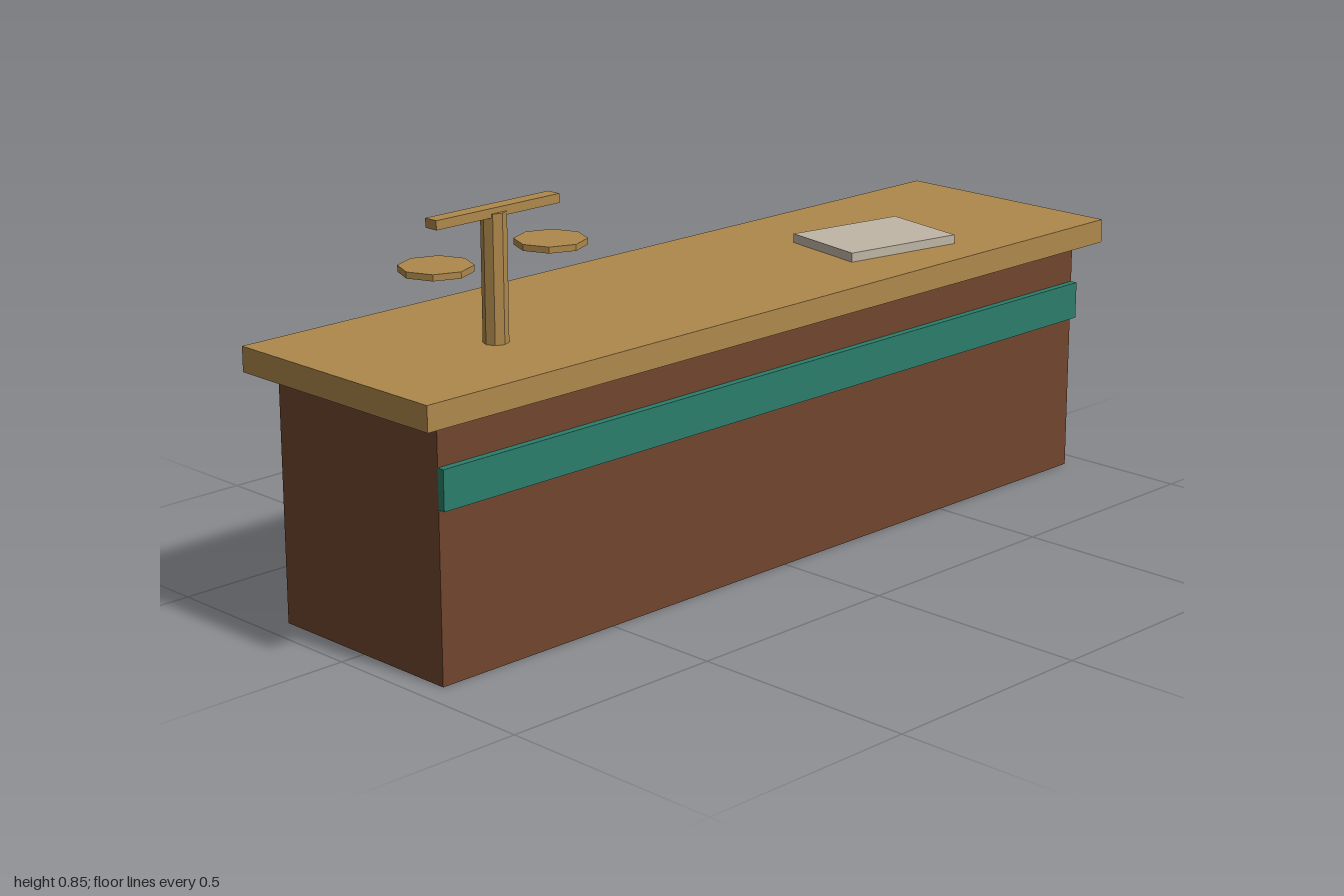
import * as THREE from 'three';

export function createModel() {
  const group = new THREE.Group();
  const material = (name, color) => {
    const m = new THREE.MeshStandardMaterial({ color, flatShading: true });
    m.name = name;
    return m;
  };
  const darkWood = material('dark wood', 0x6f452e);
  const brass = material('golden wood', 0xae884b);
  const teal = material('teal', 0x2b7d6b);
  const paper = material('paper', 0xc0b6a6);

  const add = (name, geometry, mat, x, y, z, parent = group) => {
    const mesh = new THREE.Mesh(geometry, mat);
    mesh.name = name;
    mesh.position.set(x, y, z);
    parent.add(mesh);
    return mesh;
  };
  const box = (w, h, d) => new THREE.BoxGeometry(w, h, d);

  // Counter
  add('counterBody', box(1.89, 0.528, 0.474), darkWood, 0, 0.264, 0);
  add('counterTop', box(2, 0.053, 0.554), brass, 0, 0.5535, 0);
  add('frontStripe', box(1.89, 0.083, 0.016), teal, 0, 0.3965, 0.245);

  // Ledger lying askew on the counter
  const ledger = add('ledger', box(0.284, 0.02, 0.21), paper, 0.473, 0.59, 0.054);
  ledger.rotation.y = -0.18;

  // Balance scale: eight-sided post, beam and two floating pans
  const scale = new THREE.Group();
  scale.name = 'balanceScale';
  scale.position.set(-0.634, 0.58, 0.053);
  group.add(scale);
  add('scalePost', new THREE.CylinderGeometry(0.026, 0.026, 0.263, 8), brass, 0, 0.1315, 0, scale);
  add('scaleBeam', box(0.316, 0.019, 0.032), brass, 0, 0.2645, 0, scale);
  for (const side of [-1, 1]) {
    add(side < 0 ? 'rightPan' : 'leftPan',
      new THREE.CylinderGeometry(0.0735, 0.0735, 0.013, 8), brass, side * 0.148, 0.1765, 0, scale);
  }
  return group;
}
